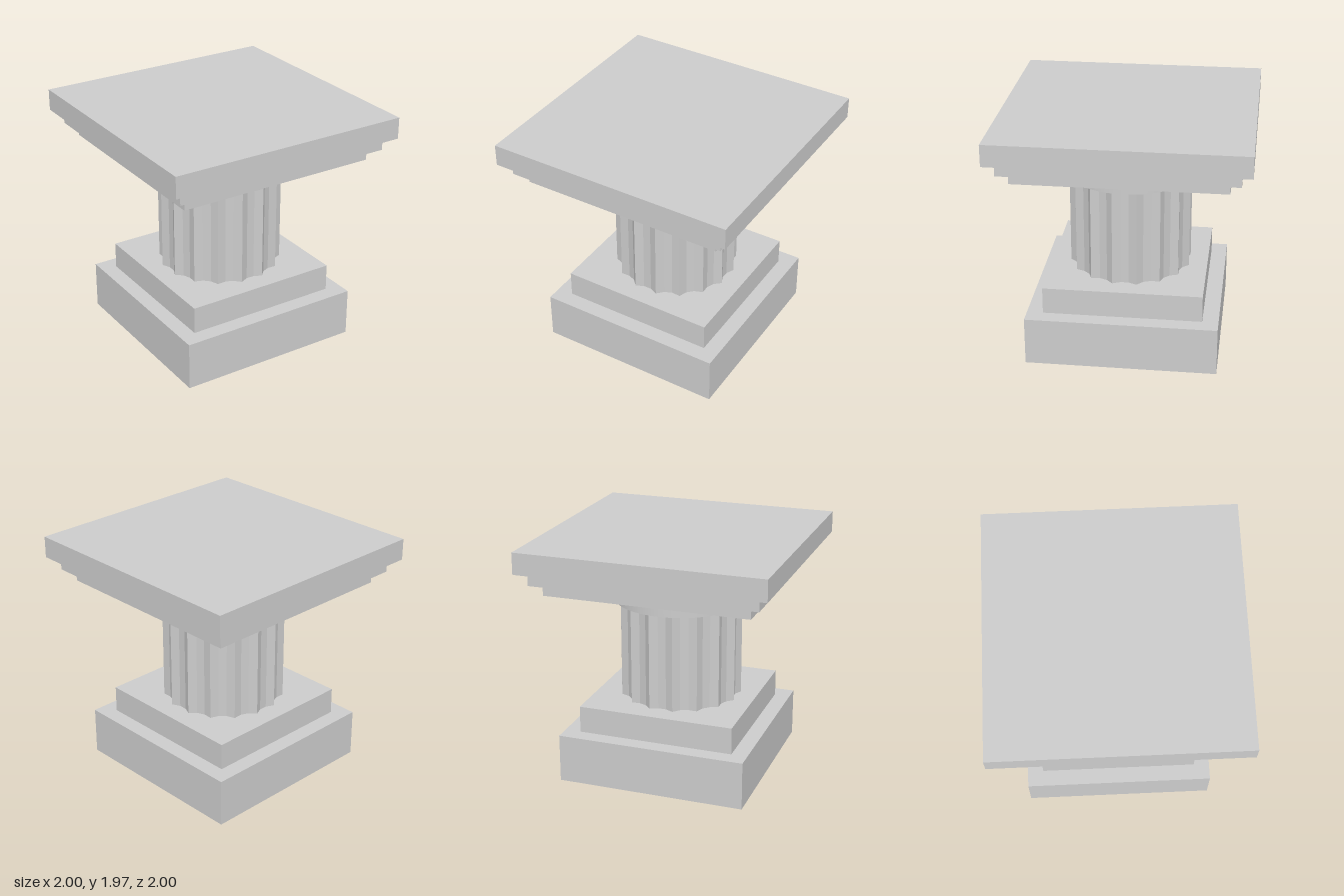
import * as THREE from 'three';

const stone = new THREE.MeshStandardMaterial({ color: 0xcccccc });
stone.name = 'stone';

// Square slab from y0 to y1
function slab(name, half, y0, y1) {
  const mesh = new THREE.Mesh(new THREE.BoxGeometry(half * 2, y1 - y0, half * 2), stone);
  mesh.position.y = (y0 + y1) / 2;
  mesh.name = name;
  return mesh;
}

// Column shaft: sharp ridges with a three-sided hollow between each pair
function flutedShaft(radius, flutes, depth, y0, y1) {
  const points = [];
  const step = (Math.PI * 2) / flutes;
  const halfChord = radius * Math.sin(step / 2);
  const floor = radius * Math.cos(step / 2) - depth;
  for (let i = 0; i < flutes; i++) {
    const a = i * step;
    const ridge = a - step / 2;
    points.push(new THREE.Vector2(Math.cos(ridge), Math.sin(ridge)).multiplyScalar(radius));
    for (const side of [-1, 1]) {
      const p = new THREE.Vector2(floor, side * halfChord / 3);
      points.push(p.rotateAround(new THREE.Vector2(), a));
    }
  }
  const geometry = new THREE.ExtrudeGeometry(new THREE.Shape(points), {
    depth: y1 - y0, bevelEnabled: false,
  });
  geometry.rotateX(-Math.PI / 2);
  const mesh = new THREE.Mesh(geometry, stone);
  mesh.position.y = y0;
  mesh.name = 'flutedShaft';
  return mesh;
}

export function createModel() {
  const group = new THREE.Group();
  group.name = 'pedestal';

  // Stepped base
  group.add(slab('baseLower', 0.77, 0, 0.395));
  group.add(slab('baseUpper', 0.64, 0.395, 0.615));

  group.add(flutedShaft(0.5, 16, 0.03, 0.615, 1.425));

  // Round collar under the top
  const collar = new THREE.Mesh(new THREE.CylinderGeometry(0.545, 0.545, 0.17, 48), stone);
  collar.position.y = 1.51;
  collar.name = 'collar';
  group.add(collar);

  // Stepped top, widening upwards
  group.add(slab('topLower', 0.833, 1.595, 1.69));
  group.add(slab('topMiddle', 0.917, 1.69, 1.795));
  group.add(slab('topSlab', 1, 1.795, 1.97));

  return group;
}
